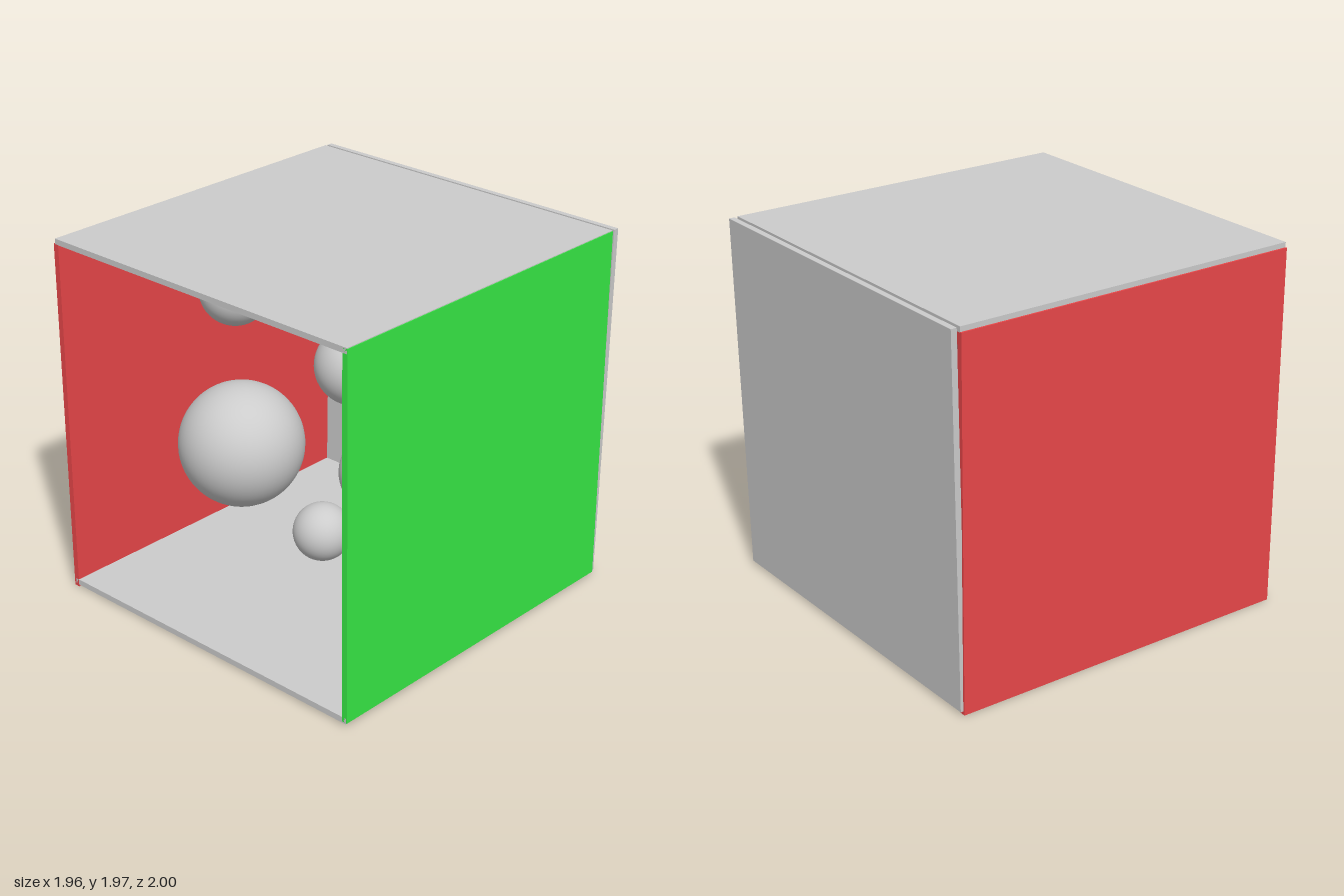
import * as THREE from 'three';

export function createModel() {
  const root = new THREE.Group();
  const grey = new THREE.MeshStandardMaterial({ color: 0xcccccc });
  const red = new THREE.MeshStandardMaterial({ color: 0xe94749 });
  const green = new THREE.MeshStandardMaterial({ color: 0x37e945 });

  // Axis-aligned slab given by its two extreme corners
  function slab(name, [x0, y0, z0], [x1, y1, z1], material) {
    const mesh = new THREE.Mesh(new THREE.BoxGeometry(x1 - x0, y1 - y0, z1 - z0), material);
    mesh.position.set((x0 + x1) / 2, (y0 + y1) / 2, (z0 + z1) / 2);
    mesh.name = name;
    root.add(mesh);
    return mesh;
  }

  // Open-fronted room
  slab('floor', [-0.972, 0.013, -0.95], [0.972, 0.045, 1], grey);
  slab('ceiling', [-0.972, 1.942, -0.95], [0.975, 1.972, 1], grey);
  slab('rightWall', [-0.982, 0.002, -0.95], [-0.95, 1.945, 1], red);
  slab('leftWall', [0.947, 0.02, -0.95], [0.979, 1.968, 1], green);

  // Back wall leans slightly backwards
  const back = slab('backWall', [-0.972, 0.02, -0.982], [0.975, 1.97, -0.95], grey);
  back.rotation.x = -0.0179;

  // Thin lamp panel hanging below the ceiling
  slab('lampPanel', [-0.275, 1.825, -0.275], [0.275, 1.842, 0.275], grey);

  // Floating balls: x, y, z, radius
  const balls = [
    [-0.5, 0.717, 0.21, 0.337],
    [0.255, 0.745, -0.33, 0.27],
    [0.433, 1.472, 0, 0.272],
    [0.575, 0.961, 0.31, 0.211],
    [-0.08, 1.158, -0.21, 0.211],
    [-0.667, 1.507, 0.07, 0.192],
    [0.064, 0.39, 0.19, 0.155],
    [-0.136, 1.655, 0, 0.109],
  ];
  balls.forEach(([x, y, z, r], i) => {
    const ball = new THREE.Mesh(new THREE.SphereGeometry(r, 48, 32), grey);
    ball.position.set(x, y, z);
    ball.name = `ball${i + 1}`;
    root.add(ball);
  });

  return root;
}
